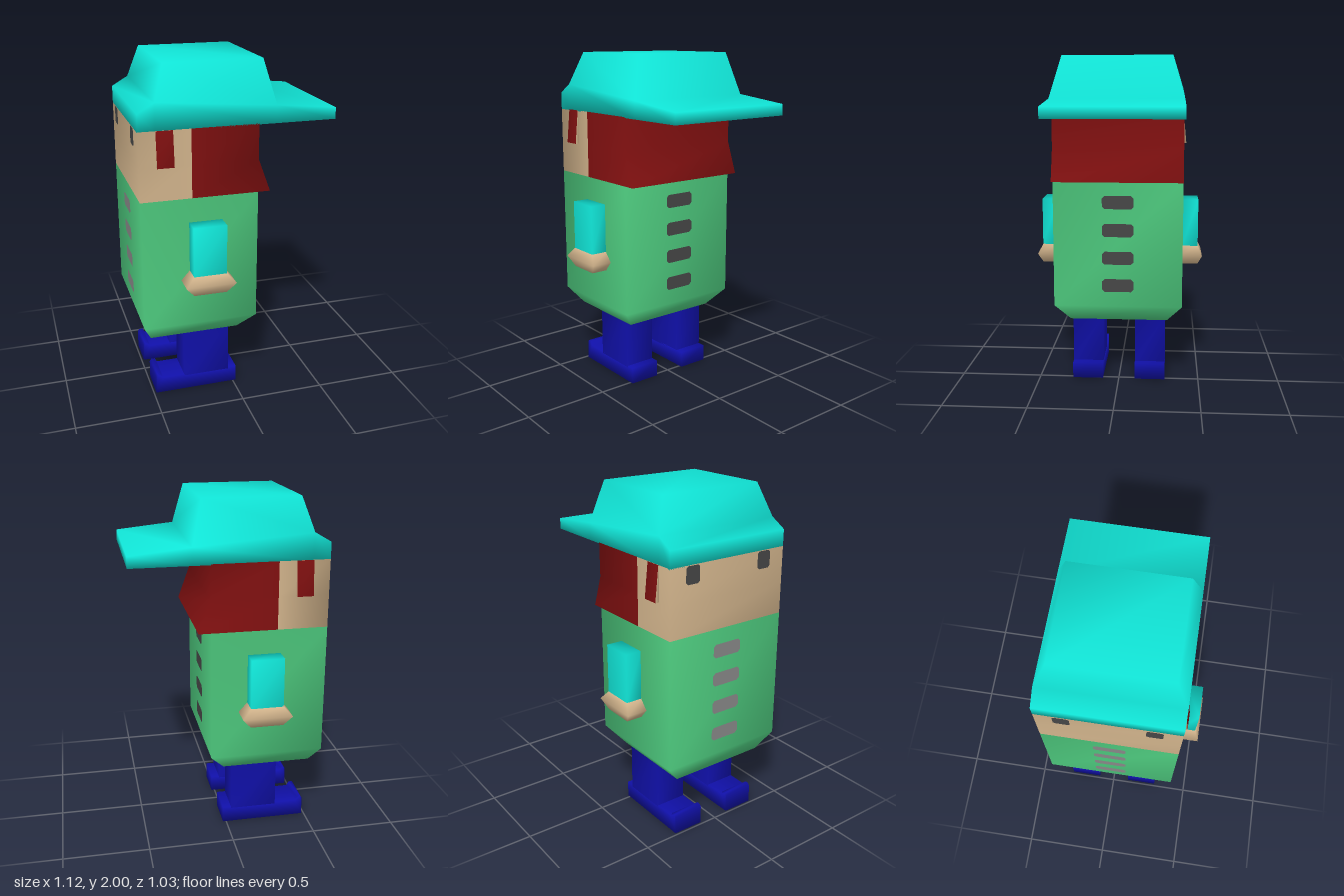
import * as THREE from 'three';
import { mergeVertices } from 'three/addons/utils/BufferGeometryUtils.js';

const paint = (name, color) => {
  const m = new THREE.MeshStandardMaterial({ color });
  m.name = name;
  return m;
};

// Smooth skin over rings of [x, y, z]; sides[i] picks a material per ring edge
function loft(rings, { start = false, end = false, sides = null } = {}) {
  const n = rings[0].length, index = [];
  const g = new THREE.BufferGeometry();
  for (let i = 0; i < n; i++) {
    const first = index.length, j = (i + 1) % n;
    for (let r = 0; r < rings.length - 1; r++) {
      const a = r * n + i, b = r * n + j;
      index.push(a, b, b + n, a, b + n, a + n);
    }
    if (sides) g.addGroup(first, index.length - first, sides[i]);
  }
  const capStart = index.length, top = (rings.length - 1) * n;
  for (let i = 1; i < n - 1; i++) {
    if (start) index.push(0, i + 1, i);
    if (end) index.push(top, top + i, top + i + 1);
  }
  if (sides && index.length > capStart) g.addGroup(capStart, index.length - capStart, 1);
  g.setAttribute('position', new THREE.Float32BufferAttribute(rings.flat(2), 3));
  g.setIndex(index);
  const merged = mergeVertices(g);
  merged.computeVertexNormals();
  return merged;
}

// Horizontal rectangle used as a loft ring
const rect = (y, x0, x1, z0, z1) => [[x0, y, z1], [x1, y, z1], [x1, y, z0], [x0, y, z0]];

// Flat patch with clipped corners
function patch(w, h, c) {
  const x = w / 2, y = h / 2;
  return new THREE.ShapeGeometry(new THREE.Shape([
    [-x + c, -y], [x - c, -y], [x, -y + c], [x, y - c],
    [x - c, y], [-x + c, y], [-x, y - c], [-x, -y + c],
  ].map(p => new THREE.Vector2(...p))));
}

export function createModel() {
  const model = new THREE.Group();
  const green = paint('shirtGreen', 0x50d082);
  const teal = paint('turquoise', 0x10e4d6);
  const skin = paint('skin', 0xd2b48c);
  const red = paint('hairRed', 0x801010);
  const blue = paint('trouserBlue', 0x1010a8);
  const grey = paint('buttonGrey', 0x868686);
  const dark = paint('darkGrey', 0x464646);

  const add = (name, geometry, material) => {
    const mesh = new THREE.Mesh(geometry, material);
    mesh.name = name;
    model.add(mesh);
    return mesh;
  };

  // Torso with a bevelled base
  add('torso', loft([
    rect(0.39, -0.51, 0.02, -0.3, 0.3),
    rect(0.5, -0.56, 0.11, -0.39, 0.39),
    rect(1.27, -0.56, 0.11, -0.39, 0.39),
  ], { start: true }), green);

  // Head: skin at the face, hair flaring out behind
  const headRing = (y, x1) => [
    [-0.56, y, 0.39], [-0.27, y, 0.39], [x1, y, 0.39],
    [x1, y, -0.39], [-0.27, y, -0.39], [-0.56, y, -0.39],
  ];
  add('head', loft([headRing(1.27, 0.18), headRing(1.46, 0.11), headRing(1.66, 0.11)],
    { sides: [0, 1, 1, 1, 0, 0] }), [skin, red]);
  const lip = add('hairUnderside', new THREE.PlaneGeometry(0.08, 0.78), red);
  lip.rotation.x = Math.PI / 2;
  lip.position.set(0.14, 1.27, 0);

  // Cap: stations along x, each with base, shoulder and crown points
  const station = (x, shoulderY, crownX = x, crownY = shoulderY, crownZ = 0.39) => [
    [x, 1.655, 0.39], [x, 1.655, -0.39], [x, shoulderY, -0.39],
    [crownX, crownY, -crownZ], [crownX, crownY, crownZ], [x, shoulderY, 0.39],
  ];
  add('cap', loft([
    station(-0.56, 1.755),
    station(-0.465, 1.81),
    station(-0.465, 1.81, -0.405, 2, 0.32),
    station(0.21, 1.755, 0.15, 2, 0.32),
    station(0.21, 1.755),
    station(0.557, 1.72),
  ], { start: true, end: true }), teal);

  // Shoe profile with a raised toe
  const shoe = new THREE.Shape([
    [-0.485, 0], [0.02, 0], [0.02, 0.1], [-0.44, 0.1],
    [-0.452, 0.125], [-0.475, 0.125], [-0.485, 0.11],
  ].map(p => new THREE.Vector2(...p)));

  for (const s of [1, -1]) {
    const side = s > 0 ? 'near' : 'far';
    const span = (y, x0, x1, a, b) => rect(y, x0, x1, Math.min(s * a, s * b), Math.max(s * a, s * b));

    // Sideburn wedges
    add(side + 'Sideburn', loft([
      span(1.46, -0.465, -0.37, 0.38, 0.413),
      span(1.66, -0.465, -0.37, 0.38, 0.393),
    ], { start: true, sides: s > 0 ? [0, 1, 1, 1] : [1, 1, 0, 1] }), [red, skin]);

    // Sleeve and hand
    add(side + 'Sleeve', loft([
      span(0.84, -0.29, -0.1, 0.39, 0.487),
      span(1.13, -0.29, -0.1, 0.39, 0.487),
    ], { end: true }), teal);
    add(side + 'Hand', loft([
      span(0.725, -0.29, -0.1, 0.39, 0.487),
      span(0.785, -0.34, -0.05, 0.365, 0.513),
      span(0.84, -0.29, -0.1, 0.39, 0.487),
    ], { start: true, end: true }), skin);

    // Leg and shoe
    add(side + 'Leg', loft([
      span(0.09, -0.31, -0.03, 0.1, 0.29),
      span(0.4, -0.31, -0.03, 0.1, 0.29),
    ]), blue);
    let shoeGeometry = new THREE.ExtrudeGeometry(shoe, { depth: 0.19, bevelEnabled: false });
    shoeGeometry.deleteAttribute('normal');
    shoeGeometry.deleteAttribute('uv');
    shoeGeometry = mergeVertices(shoeGeometry);
    shoeGeometry.computeVertexNormals();
    add(side + 'Shoe', shoeGeometry, blue).position.z = s > 0 ? 0.1 : -0.29;

    // Eyes just below the cap
    const eye = add(side + 'Eye', patch(0.09, 0.1, 0.012), dark);
    eye.rotation.y = -Math.PI / 2;
    eye.position.set(-0.564, 1.607, s * 0.245);
  }

  // Buttons on the chest and patches down the back
  for (let i = 0; i < 4; i++) {
    const y = 0.632 + i * 0.17;
    const button = add('chestButton', patch(0.19, 0.08, 0.015), grey);
    button.rotation.y = -Math.PI / 2;
    button.position.set(-0.564, y, 0);
    const stripe = add('backPatch', patch(0.19, 0.08, 0.015), dark);
    stripe.rotation.y = Math.PI / 2;
    stripe.position.set(0.114, y, 0);
  }
  return model;
}
